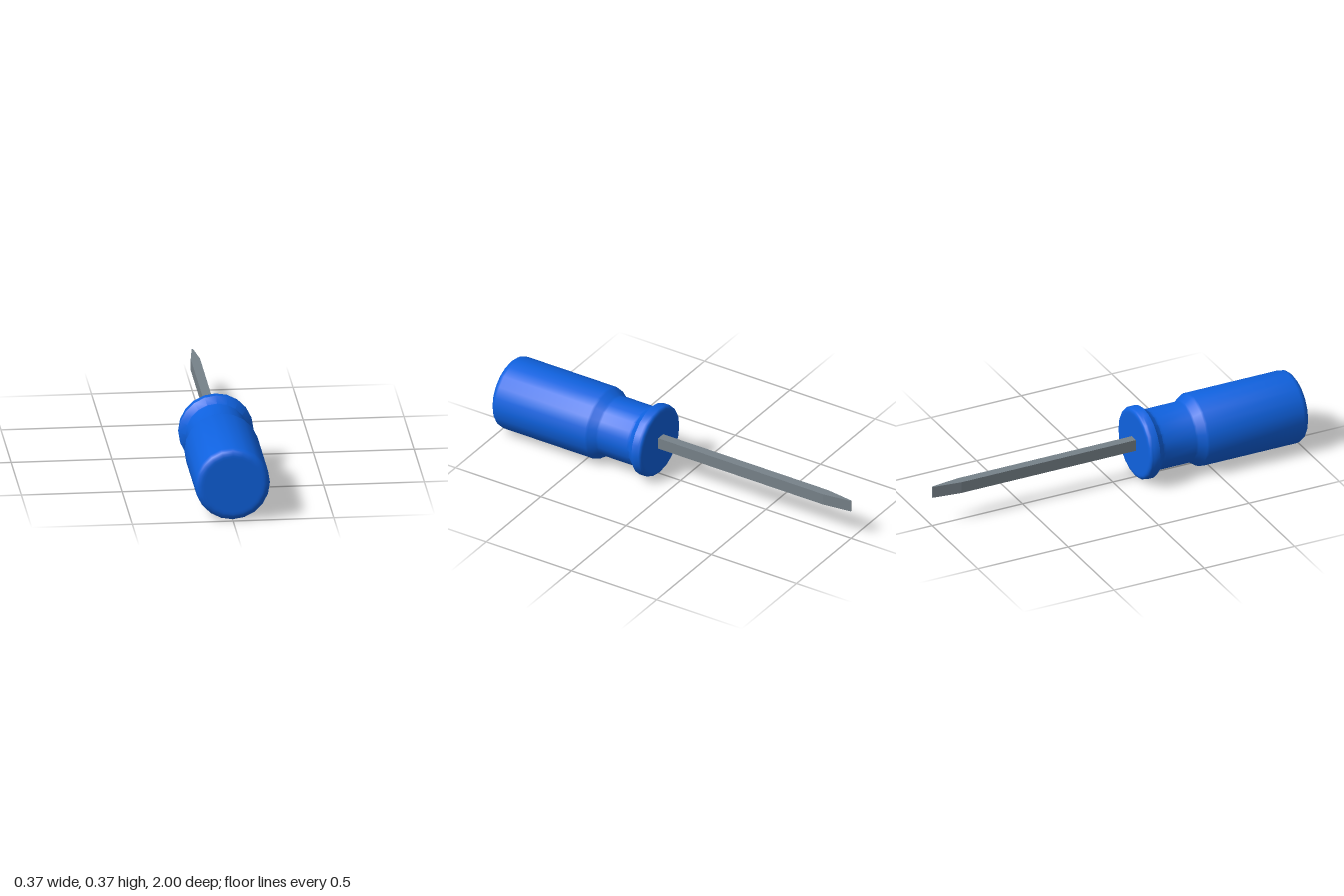
import * as THREE from 'three';
import { toCreasedNormals } from 'three/addons/utils/BufferGeometryUtils.js';

const AXIS_Y = 0.188;

// Quarter-round corner of a profile, centred on (r, z), from angle a to angle b (degrees).
function corner(r, z, radius, a, b, steps = 4) {
  return Array.from({ length: steps + 1 }, (_, i) => {
    const t = THREE.MathUtils.degToRad(a + ((b - a) * i) / steps);
    return new THREE.Vector2(r + radius * Math.cos(t), z + radius * Math.sin(t));
  });
}

export function createModel() {
  const group = new THREE.Group();
  const handleBlue = new THREE.MeshStandardMaterial({ color: 0x0f62e0 });
  handleBlue.name = 'handle blue';
  const steelGrey = new THREE.MeshStandardMaterial({ color: 0x77828a });
  steelGrey.name = 'steel grey';

  // Handle: collar, waist and grip turned as one 20-sided profile
  const v = (r, z) => new THREE.Vector2(r, z);
  const profile = [
    v(0, 0.117), v(0.155, 0.117),
    ...corner(0.164, 0.139, 0.022, -90, 0),
    v(0.186, 0.17),
    v(0.156, 0.205), v(0.155, 0.22),
    v(0.155, 0.385), v(0.158, 0.397),
    v(0.182, 0.432), v(0.186, 0.445),
    ...corner(0.152, 0.966, 0.034, 0, 90),
    v(0.14, 1), v(0, 1),
  ];
  const handleGeometry = toCreasedNormals(
    new THREE.LatheGeometry(profile, 20), THREE.MathUtils.degToRad(38));
  handleGeometry.rotateX(Math.PI / 2);
  const handle = new THREE.Mesh(handleGeometry, handleBlue);
  handle.name = 'handle';
  handle.position.y = AXIS_Y;
  group.add(handle);

  // Blade: rectangular bar whose sides taper to a thin flat tip
  const outline = new THREE.Shape([
    v(-0.023, -0.15), v(0.023, -0.15), v(0.023, 0.85),
    v(0.003, 1), v(-0.003, 1), v(-0.023, 0.85),
  ]);
  const height = 0.06;
  const bladeGeometry = new THREE.ExtrudeGeometry(outline, { depth: height, bevelEnabled: false });
  bladeGeometry.translate(0, 0, -height / 2);
  bladeGeometry.rotateX(-Math.PI / 2);
  const blade = new THREE.Mesh(bladeGeometry, steelGrey);
  blade.name = 'blade';
  blade.position.y = AXIS_Y + 0.002;
  group.add(blade);

  return group;
}
